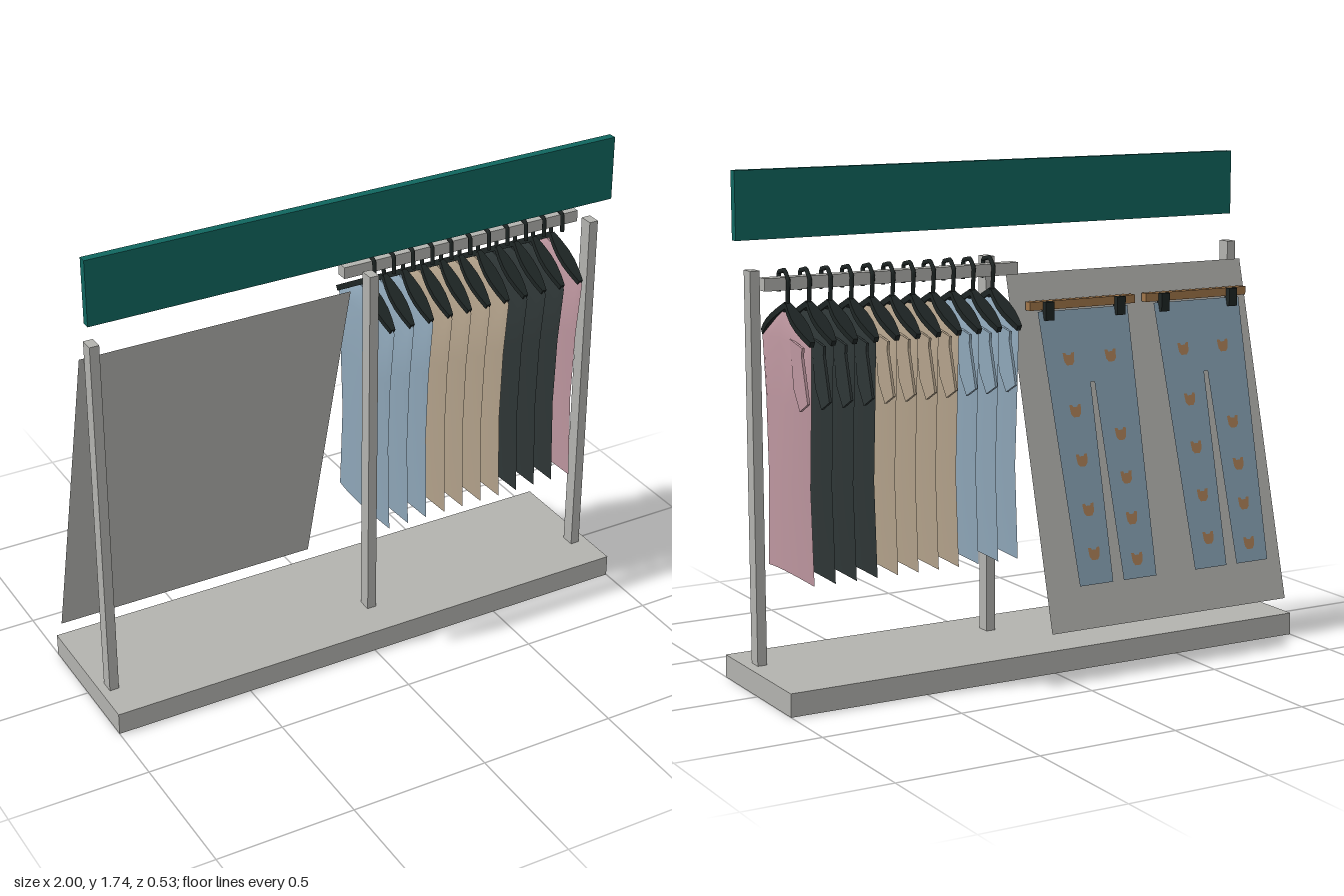
import * as THREE from 'three';
import { toCreasedNormals } from 'three/addons/utils/BufferGeometryUtils.js';

const mat = (name, color, open) => {
  const m = new THREE.MeshStandardMaterial({ color });
  m.name = name;
  if (open) m.side = THREE.DoubleSide;
  return m;
};

const grey = mat('grey', 0xb3b3af, true);
const teal = mat('teal', 0x10665f);
const pink = mat('dusty pink', 0xbd969f, true);
const beige = mat('beige', 0xb3a28b, true);
const blue = mat('pale blue', 0x8ea6b8, true);
const charcoal = mat('charcoal', 0x2e3636, true);
const black = mat('black', 0x1e2524);
const denim = mat('denim', 0x86a0b2, true);
const wood = mat('wood', 0xa0764a);
const tan = mat('tan', 0xa87d55, true);

function add(parent, name, geometry, material, x = 0, y = 0, z = 0) {
  const mesh = new THREE.Mesh(geometry, material);
  mesh.name = name;
  mesh.position.set(x, y, z);
  parent.add(mesh);
  return mesh;
}

const box = (w, h, d) => new THREE.BoxGeometry(w, h, d);
const outline = pts => new THREE.Shape(pts.map(p => new THREE.Vector2(p[0], p[1])));

// Shirt body: flat lens-shaped rings from hem to collar, [y, front z, back z, half thickness]
function shirtBodyGeometry() {
  const rows = [
    [0.41, 0.145, -0.215, 0.025], [0.73, 0.13, -0.197, 0.026], [0.99, 0.14, -0.212, 0.028],
    [1.2, 0.163, -0.222, 0.024], [1.262, 0.068, -0.125, 0.017], [1.29, 0.015, -0.075, 0.01],
  ];
  const n = 12, pos = [], index = [];
  rows.forEach(([y, zf, zb, w], r) => {
    for (let i = 0; i < n; i++) {
      const a = (i / n) * Math.PI * 2, u = Math.cos(a), s = Math.sin(a);
      const lift = r === 0 ? 0.02 * (1 - u * u) : 0;
      pos.push(w * s * Math.abs(s), y + lift, (zf + zb) / 2 + (zf - zb) / 2 * u);
      if (r < rows.length - 1) {
        const p = r * n + i, q = r * n + (i + 1) % n;
        index.push(p, q, q + n, p, q + n, p + n);
      }
    }
  });
  const g = new THREE.BufferGeometry();
  g.setAttribute('position', new THREE.Float32BufferAttribute(pos, 3));
  g.setIndex(index);
  return toCreasedNormals(g, 0.6);
}

// Short sleeve: thin slab drawn in the side plane, swung outward towards its cuff
function sleeveGeometry() {
  const shape = outline([[0.1, 1.21], [0.13, 1.05], [0.185, 0.985], [0.26, 1.02], [0.21, 1.165], [0.215, 1.195]]);
  const g = new THREE.ExtrudeGeometry(shape, { depth: 0.009, bevelEnabled: false });
  g.rotateY(Math.PI / 2);
  const p = g.attributes.position;
  for (let i = 0; i < p.count; i++) {
    p.setX(i, p.getX(i) + 0.012 + 0.09 * (-p.getZ(i) - 0.1));
  }
  g.computeVertexNormals();
  return g;
}

// Hanger arm: bar from the neck to a shoulder, broad in the middle
function armGeometry(z1, y1) {
  const z0 = -0.04, y0 = 1.313, dz = z1 - z0, dy = y1 - y0, len = Math.hypot(dy, dz);
  const g = new THREE.BoxGeometry(1, 0.02, len, 1, 1, 5);
  const p = g.attributes.position;
  for (let i = 0; i < p.count; i++) {
    const t = p.getZ(i) / len + 0.5;
    p.setX(i, p.getX(i) * (0.016 + 0.032 * Math.sin(Math.PI * t)));
  }
  g.rotateX(Math.atan2(-dy, dz));
  g.translate(0, (y0 + y1) / 2, (z0 + z1) / 2);
  return toCreasedNormals(g, 0.5);
}

function hookGeometry() {
  const path = new THREE.CurvePath();
  const pts = [[1.35, 0.025], [1.415, 0.022], [1.425, -0.025], [1.395, -0.052], [1.31, -0.042]]
    .map(([y, z]) => new THREE.Vector3(0, y, z));
  for (let i = 1; i < pts.length; i++) path.add(new THREE.LineCurve3(pts[i - 1], pts[i]));
  return new THREE.TubeGeometry(path, 24, 0.008, 6);
}

// Animal-head patch with two ears
const patchShape = outline([[-0.023, 0.022], [-0.012, 0.022], [-0.008, 0.014], [0.008, 0.014], [0.012, 0.022],
  [0.023, 0.022], [0.022, 0.008], [0.02, -0.01], [0.011, -0.022], [-0.011, -0.022], [-0.02, -0.01], [-0.022, 0.008]]);

export function createModel() {
  const model = new THREE.Group();
  model.name = 'clothesDisplay';

  // Stand
  add(model, 'base', box(2, 0.08, 0.53), grey, 0, 0.04, 0);
  for (const x of [-0.953, 0.064, 0.947]) add(model, 'post', box(0.034, 1.335, 0.05), grey, x, 0.7475, 0.102);
  add(model, 'rail', box(0.945, 0.042, 0.042), grey, 0.493, 1.382, -0.021);
  add(model, 'headerBoard', box(1.974, 0.23, 0.03), teal, 0, 1.625, 0.15);

  // Slanted display panel
  const tilt = 0.2575;
  const panel = add(model, 'displayPanel', new THREE.PlaneGeometry(0.99, 1.256), grey, -0.49, 0.742, -0.09);
  panel.rotation.x = tilt;

  // Trousers on wooden clip hangers
  const L = 0.962;
  const trouserShape = outline([[-0.185, 0], [-0.158, -L], [-0.022, -L], [-0.008, -0.27 * L],
    [0.008, -0.27 * L], [0.022, -L], [0.158, -L], [0.185, 0]]);
  const trouserGeo = new THREE.ShapeGeometry(trouserShape);
  const patchGeo = new THREE.ShapeGeometry(patchShape);
  const patchRows = { 1: [0.18, 0.37, 0.55, 0.73, 0.89], '-1': [0.18, 0.47, 0.63, 0.78, 0.93] };
  for (const cx of [-0.748, -0.267]) {
    const trousers = new THREE.Group();
    trousers.name = 'trousers';
    trousers.position.set(cx, 1.22, 0);
    trousers.rotation.x = tilt;
    add(trousers, 'trouserCloth', trouserGeo, denim);
    for (const side of [1, -1]) {
      for (const t of patchRows[side]) add(trousers, 'patch', patchGeo, tan, side * 0.086, -t * L, -0.004);
      add(model, 'clip', box(0.034, 0.065, 0.03), black, cx + side * 0.147, 1.222, -0.007);
    }
    model.add(trousers);
    add(model, 'woodenHanger', box(0.433, 0.03, 0.03), wood, cx, 1.24, 0.015);
  }

  // Row of shirts on hangers
  const bodyGeo = shirtBodyGeometry(), sleeveGeo = sleeveGeometry(), hookGeo = hookGeometry();
  const arms = [armGeometry(0.15, 1.203), armGeometry(-0.225, 1.205)];
  const cloths = [blue, blue, blue, beige, beige, beige, beige, charcoal, charcoal, charcoal, pink];
  cloths.forEach((cloth, i) => {
    const shirt = new THREE.Group();
    shirt.name = 'hangingShirt';
    shirt.position.x = 0.123 + i * 0.0763;
    add(shirt, 'shirtBody', bodyGeo, cloth);
    add(shirt, 'sleeve', sleeveGeo, cloth);
    arms.forEach(g => add(shirt, 'hangerArm', g, black));
    add(shirt, 'hangerHook', hookGeo, black);
    model.add(shirt);
  });
  return model;
}
